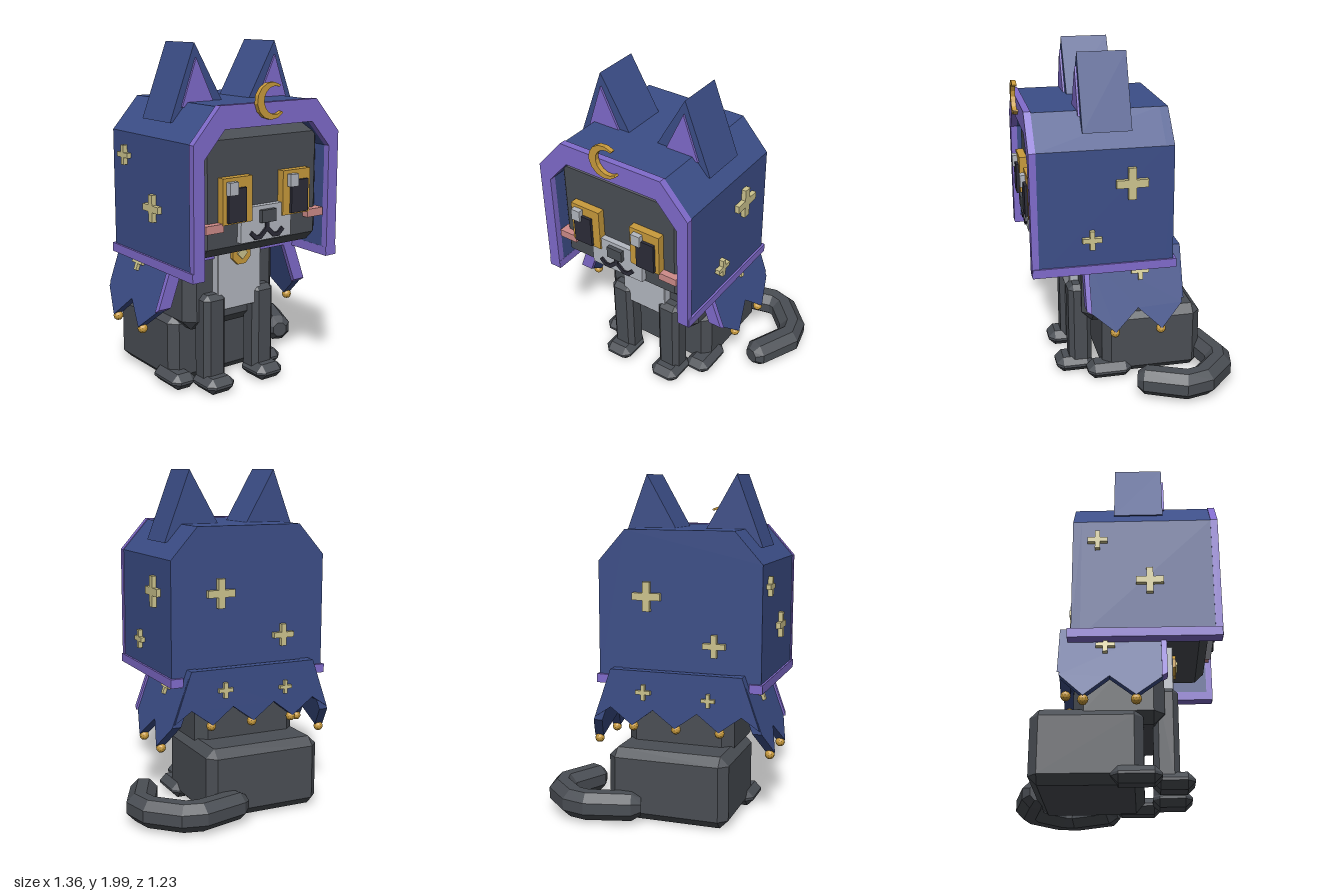
import * as THREE from 'three';
import { ConvexGeometry } from 'three/addons/geometries/ConvexGeometry.js';

const material = (name, color, side = THREE.FrontSide) => {
  const m = new THREE.MeshStandardMaterial({ color, flatShading: true, side });
  m.name = name;
  return m;
};

export function createModel() {
  const fur = material('charcoal fur', 0x4a4e54);
  const blue = material('night blue cloth', 0x3c4e88);
  const purple = material('purple trim', 0x806bcc);
  const gold = material('gold', 0xc99b3c);
  const pale = material('pale yellow', 0xcdc48e);
  const white = material('light grey fur', 0xb4b8c1);
  const pink = material('blush pink', 0xcf8c8a);
  const dark = material('dark pupil', 0x2c2c38);

  const model = new THREE.Group();
  model.name = 'hoodedCat';
  const cat = new THREE.Group();
  cat.name = 'cat';
  cat.position.x = -0.115; // the cat sits off centre because of the tail
  model.add(cat);

  const add = (name, geometry, mat, x = 0, y = 0, z = 0) => {
    const mesh = new THREE.Mesh(geometry, mat);
    mesh.name = name;
    mesh.position.set(x, y, z);
    cat.add(mesh);
    return mesh;
  };
  // Box given by its limits on each axis
  const box = (name, mat, x0, x1, y0, y1, z0, z1) =>
    add(name, new THREE.BoxGeometry(x1 - x0, y1 - y0, z1 - z0), mat, (x0 + x1) / 2, (y0 + y1) / 2, (z0 + z1) / 2);
  // The same with chamfered edges
  const chamferBox = (name, mat, x0, x1, y0, y1, z0, z1, c) => {
    const [hx, hy, hz] = [(x1 - x0) / 2, (y1 - y0) / 2, (z1 - z0) / 2];
    const points = [];
    for (const a of [-1, 1]) for (const b of [-1, 1]) for (const d of [-1, 1]) {
      points.push(
        new THREE.Vector3(a * hx, b * (hy - c), d * (hz - c)),
        new THREE.Vector3(a * (hx - c), b * hy, d * (hz - c)),
        new THREE.Vector3(a * (hx - c), b * (hy - c), d * hz));
    }
    return add(name, new ConvexGeometry(points), mat, (x0 + x1) / 2, (y0 + y1) / 2, (z0 + z1) / 2);
  };
  const extrude = (points, depth) => new THREE.ExtrudeGeometry(
    new THREE.Shape(points.map(([x, y]) => new THREE.Vector2(x, y))), { depth, bevelEnabled: false });

  // Body
  chamferBox('torso', fur, -0.325, 0.325, 0.36, 0.92, -0.225, 0.27, 0.06);
  chamferBox('haunches', fur, -0.36, 0.36, 0.015, 0.435, -0.455, 0.155, 0.05);
  chamferBox('chest', white, -0.155, 0.155, 0.48, 0.9, 0.2, 0.325, 0.004);
  for (const s of [-1, 1]) {
    chamferBox('frontLeg', fur, s * 0.175 - 0.075, s * 0.175 + 0.075, 0.04, 0.585, 0.205, 0.345, 0.03);
    chamferBox('frontPaw', fur, s * 0.18 - 0.095, s * 0.18 + 0.095, 0.01, 0.105, 0.2, 0.425, 0.04);
    chamferBox('rearPaw', fur, s * 0.32 - 0.08, s * 0.32 + 0.08, 0.01, 0.105, -0.02, 0.25, 0.04);
  }

  // Tail: mitred eight-sided rings along a flat path
  const path = [[0.15, -0.45, 0.05], [0.2, -0.47, 0.08], [0.455, -0.535, 0.082], [0.54, -0.515, 0.082],
    [0.685, -0.375, 0.082], [0.71, -0.275, 0.082], [0.605, -0.05, 0.08], [0.59, -0.005, 0.045]];
  const position = [], index = [], sides = 8, last = path.length - 1;
  path.forEach(([x, z, r], i) => {
    const a = path[Math.max(i - 1, 0)], b = path[Math.min(i + 1, last)];
    const dx = b[0] - a[0], dz = b[1] - a[1], l = Math.hypot(dx, dz);
    for (let k = 0; k < sides; k++) {
      const t = (k + 0.5) / sides * Math.PI * 2, w = r * Math.cos(t) * 1.08;
      position.push(x - dz / l * w, 0.11 + r * 1.08 * Math.sin(t), z + dx / l * w);
      if (i < last) {
        const p = i * sides + k, q = i * sides + (k + 1) % sides;
        index.push(p, p + sides, q, q, p + sides, q + sides);
      }
    }
  });
  for (let k = 1; k < sides - 1; k++) {
    const e = last * sides;
    index.push(0, k, k + 1, e, e + k + 1, e + k);
  }
  const tail = new THREE.BufferGeometry();
  tail.setAttribute('position', new THREE.Float32BufferAttribute(position, 3));
  tail.setIndex(index);
  tail.computeVertexNormals();
  add('tail', tail, material('charcoal tail fur', 0x4a4e54, THREE.DoubleSide));

  // Head and face
  chamferBox('head', fur, -0.428, 0.428, 0.865, 1.56, -0.15, 0.53, 0.055);
  for (const s of [-1, 1]) {
    const c = s * 0.205;
    box('eyeRim', gold, c - 0.098, c + 0.098, 1.055, 1.307, 0.5, 0.575);
    box('pupil', dark, c + s * 0.012 - 0.06, c + s * 0.012 + 0.06, 1.065, 1.25, 0.575, 0.592);
    box('eyeGlint', white, s < 0 ? -0.28 : 0.137, s < 0 ? -0.222 : 0.195, 1.217, 1.287, 0.575, 0.606);
    box('blush', pink, s * 0.352 - 0.058, s * 0.352 + 0.058, 1.018, 1.064, 0.5, 0.57);
    // Mouth curve
    [[0.028, 0.975, -0.75, 0.06], [0.065, 0.957, 0, 0.045], [0.095, 0.972, 0.75, 0.045]].forEach(([x, y, turn, w]) => {
      add('mouth', new THREE.BoxGeometry(w, 0.024, 0.012), dark, s * x, y, 0.57).rotation.z = s * turn;
    });
  }
  add('muzzle', extrude([[-0.175, 0.935], [0.175, 0.935], [0.175, 1.06], [0.11, 1.06], [0.11, 1.13],
    [-0.11, 1.13], [-0.11, 1.06], [-0.175, 1.06]], 0.065), white, 0, 0, 0.5);
  box('nose', fur, -0.05, 0.05, 1.037, 1.107, 0.56, 0.59);
  box('mouthStem', dark, -0.012, 0.012, 0.985, 1.04, 0.56, 0.576);

  // Hood: open arch, back wall and trim
  const arch = (w, s, t, h) => [[-w, 0.78], [-w, s], [-t, h], [t, h], [w, s], [w, 0.78]];
  const outer = arch(0.495, 1.5, 0.33, 1.685), inner = arch(0.43, 1.42, 0.3, 1.567);
  const ring = [...outer, ...inner.slice().reverse()];
  add('hood', extrude(ring, 0.73), blue, 0, 0, -0.18);
  add('hoodBack', extrude(outer, 0.05), blue, 0, 0, -0.23);
  add('hoodFrontTrim', extrude([...arch(0.5, 1.5, 0.33, 1.692), ...inner.slice().reverse()], 0.04), purple, 0, 0, 0.548);
  for (const s of [-1, 1]) {
    box('hoodHemTrim', purple, s * 0.468 - 0.039, s * 0.468 + 0.039, 0.773, 0.825, -0.25, 0.585);
    // Ears
    const flip = (points) => points.map(([x, y]) => [s * x, y]);
    add('ear', extrude(flip([[0.087, 1.67], [0.437, 1.58], [0.277, 2.0]]), 0.28), blue);
    add('innerEar', extrude(flip([[0.15, 1.66], [0.365, 1.66], [0.273, 1.92]]), 0.012), purple, 0, 0, 0.28);
  }

  // Crescent on the hood
  const crescent = [];
  for (let i = 0; i <= 10; i++) {
    const t = 0.85 + i / 10 * (Math.PI * 2 - 1.7);
    crescent.push([Math.cos(t) * 0.1, Math.sin(t) * 0.1]);
  }
  for (let i = 10; i >= 0; i--) {
    const t = 1.05 + i / 10 * (Math.PI * 2 - 2.1);
    crescent.push([0.022 + Math.cos(t) * 0.076, Math.sin(t) * 0.076]);
  }
  add('crescent', extrude(crescent, 0.027), gold, -0.01, 1.7, 0.588).rotation.z = 0.12;

  // Cape: upright back panel and two flared side panels with pointed hems
  add('capeBack', extrude([[-0.4, 0.87], [-0.505, 0.57], [-0.4, 0.64], [-0.265, 0.54], [-0.135, 0.64], [0, 0.54],
    [0.135, 0.64], [0.265, 0.54], [0.4, 0.64], [0.505, 0.57], [0.4, 0.87]], 0.055), blue, 0, 0, -0.297);
  const slope = 0.364;
  const flare = (points, depth, offset) => {
    const g = extrude(points.map(([z, y]) => [-z, y]), depth);
    const p = g.attributes.position;
    for (let i = 0; i < p.count; i++) {
      const a = p.getX(i), y = p.getY(i), d = p.getZ(i);
      p.setXYZ(i, 0.345 + offset + (0.87 - y) * slope + d, y, -a);
    }
    g.computeVertexNormals();
    return g;
  };
  const sidePanel = flare([[0.268, 0.87], [0.268, 0.54], [0.12, 0.415], [-0.02, 0.54], [-0.155, 0.415],
    [-0.285, 0.55], [-0.285, 0.87]], 0.055, 0);
  const sideEdge = flare([[0.285, 0.86], [0.285, 0.55], [0.255, 0.53], [0.255, 0.86]], 0.08, -0.012);
  const ball = new THREE.IcosahedronGeometry(0.029, 1);
  for (const s of [-1, 1]) {
    add('capeSide', sidePanel, blue).scale.x = s;
    add('capeEdgeTrim', sideEdge, purple).scale.x = s;
    for (const z of [0.12, -0.155]) add('capeBead', ball, gold, s * 0.535, 0.402, z);
  }
  for (const x of [-0.265, 0, 0.265]) add('capeBead', ball, gold, x, 0.53, -0.27);

  // Collar and medallion
  box('collar', purple, -0.38, 0.38, 0.787, 0.825, 0.24, 0.29);
  add('medallion', new THREE.CylinderGeometry(0.07, 0.07, 0.03, 8), gold, 0, 0.808, 0.33)
    .rotation.set(Math.PI / 2, Math.PI / 8, 0);
  add('medallionGem', new THREE.BoxGeometry(0.05, 0.05, 0.015), pale, 0, 0.808, 0.348).rotation.z = Math.PI / 4;

  // Cross-shaped stars; turn is the heading of the outer face
  const star = (x, y, z, h, turn, tilt = 0) => {
    const w = h * 0.25;
    const plus = [[w, w], [w, h], [-w, h], [-w, w], [-h, w], [-h, -w], [-w, -w], [-w, -h], [w, -h], [w, -w], [h, -w], [h, w]];
    const mesh = add('star', extrude(plus, 0.04), pale, x, y, z);
    mesh.rotation.set(tilt, turn, 0, 'YXZ');
  };
  const q = Math.PI / 2;
  star(0.482, 1.3, 0.015, 0.092, q);
  star(0.482, 0.98, 0.245, 0.056, q);
  star(-0.482, 1.37, -0.09, 0.056, -q);
  star(-0.482, 1.11, 0.2, 0.076, -q);
  star(0.19, 1.3, -0.218, 0.086, Math.PI);
  star(-0.22, 1.03, -0.218, 0.066, Math.PI);
  star(0.19, 0.745, -0.278, 0.046, Math.PI);
  star(-0.205, 0.725, -0.278, 0.04, Math.PI);
  for (const s of [-1, 1]) star(s * 0.427, 0.735, -0.045, 0.052, s * q, -Math.atan(slope));

  return model;
}
